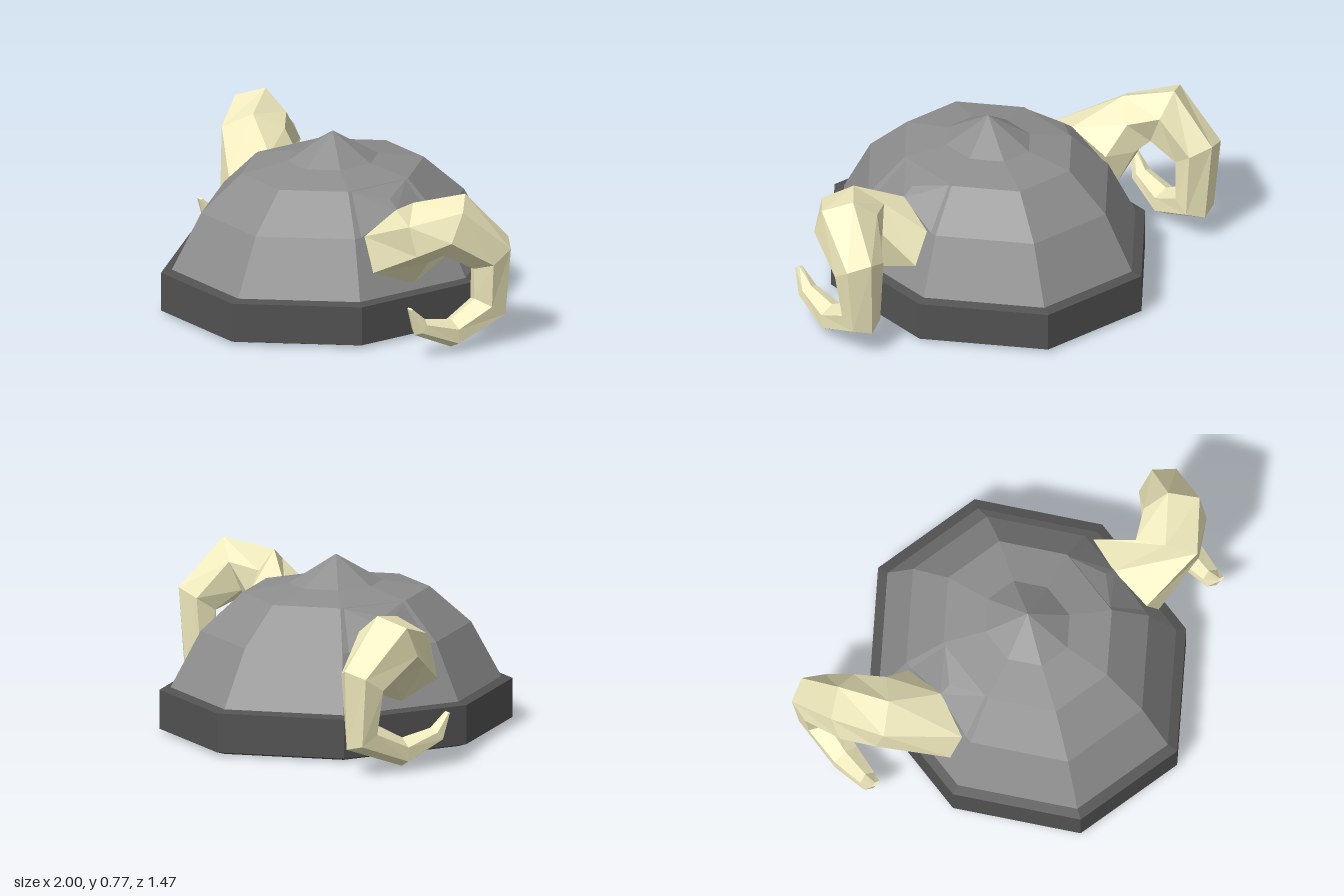
import * as THREE from 'three';
import { ConvexGeometry } from 'three/addons/geometries/ConvexGeometry.js';

const mat = (color) => new THREE.MeshStandardMaterial({ color, flatShading: true });
const V = (x, y, z) => new THREE.Vector3(x, y, z);

function part(name, geometry, material) {
  const mesh = new THREE.Mesh(geometry, material);
  mesh.name = name;
  return mesh;
}

// Eight-sided turned shape, longer front to back; radii are measured to the flats
function octagonal(profile) {
  const pts = profile.map(([r, y]) => new THREE.Vector2(r / Math.cos(Math.PI / 8), y));
  const g = new THREE.LatheGeometry(pts, 8, Math.PI / 8);
  g.scale(1, 1, 1.15);
  return g;
}

// Rings of the curled six-sided horn from base to tip:
// centre, facing direction, radius along the curl and across it
const HORN = [
  [[0.54, 0.385, 0], [0.92, 0.4, 0], 0.165, 0.225],
  [[0.73, 0.51, 0.05], [0.75, 0.25, -0.62], 0.14, 0.16],
  [[0.845, 0.56, -0.045], [0.5, -0.35, -0.77], 0.145, 0.145],
  [[0.9, 0.415, -0.205], [0.08, -0.76, -0.5], 0.108, 0.112],
  [[0.885, 0.165, -0.2], [0, -0.84, 0.55], 0.088, 0.09],
  [[0.885, 0.08, 0], [0, 0, 1], 0.064, 0.07],
  [[0.885, 0.14, 0.17], [0, 0.64, 0.77], 0.042, 0.045],
  [[0.89, 0.235, 0.225], [0, 0.87, 0.5], 0.006, 0.02],
];

function hornGeometry(side, shift) {
  const hub = V(side * 0.89, 0.3, -0.03 + shift);
  const sides = 6, last = HORN.length - 1;
  const pos = [], index = [];
  HORN.forEach(([[x, y, z], [nx, ny, nz], along, across], i) => {
    const c = V(side * x, y, z + (i ? shift : 0));
    const n = V(side * nx, ny, nz).normalize();
    // One corner points up at the root, then away from the middle of the curl
    const v = i < 2 ? V(0, 1, 0) : c.clone().sub(hub);
    v.addScaledVector(n, -v.dot(n)).normalize();
    const w = n.clone().cross(v);
    for (let j = 0; j < sides; j++) {
      const a = (j / sides) * Math.PI * 2;
      const p = c.clone().addScaledVector(v, along * Math.cos(a)).addScaledVector(w, across * Math.sin(a));
      pos.push(p.x, p.y, p.z);
    }
  });
  for (let i = 0; i < last; i++) {
    for (let j = 0; j < sides; j++) {
      const a = i * sides + j, b = i * sides + ((j + 1) % sides);
      index.push(a, b, b + sides, a, b + sides, a + sides);
    }
  }
  // End caps
  for (let j = 1; j < sides - 1; j++) {
    const t = last * sides;
    index.push(0, j + 1, j, t, t + j, t + j + 1);
  }
  const g = new THREE.BufferGeometry();
  g.setAttribute('position', new THREE.Float32BufferAttribute(pos, 3));
  g.setIndex(index);
  g.computeVertexNormals();
  return g;
}

export function createModel() {
  const helmet = new THREE.Group();
  helmet.name = 'hornedHelmet';
  const steel = mat(0x8e8e8e), darkSteel = mat(0x525252), bone = mat(0xf0eabd);

  // Dome: outer skin up to the point, then the lower hollow inside back down
  helmet.add(part('dome', octagonal([
    [0.6, 0.2], [0.49, 0.45], [0.34, 0.615], [0.17, 0.652], [0, 0.775],
    [0, 0.575], [0.16, 0.47], [0.32, 0.42], [0.465, 0.265], [0.6, 0],
  ]), steel));

  // Brow band with a bevelled lower edge
  helmet.add(part('rimBand', octagonal([
    [0.6, 0], [0.64, 0.015], [0.64, 0.19], [0.6, 0.2],
  ]), darkSteel));

  // Horns, the right one swept further back, each on a raised seat
  for (const [side, label, shift] of [[1, 'left', 0], [-1, 'right', -0.15]]) {
    helmet.add(part(label + 'Horn', hornGeometry(side, shift), bone));
    const seat = [
      [0.34, 0.613, 0.15], [0.34, 0.613, -0.15], [0.43, 0.575, 0],
      [0.48, 0.535, 0], [0.49, 0.45, 0.2], [0.49, 0.45, -0.2],
    ].map(([x, y, z]) => V(side * x, y, z));
    helmet.add(part(label + 'HornSeat', new ConvexGeometry(seat), steel));
  }
  return helmet;
}
